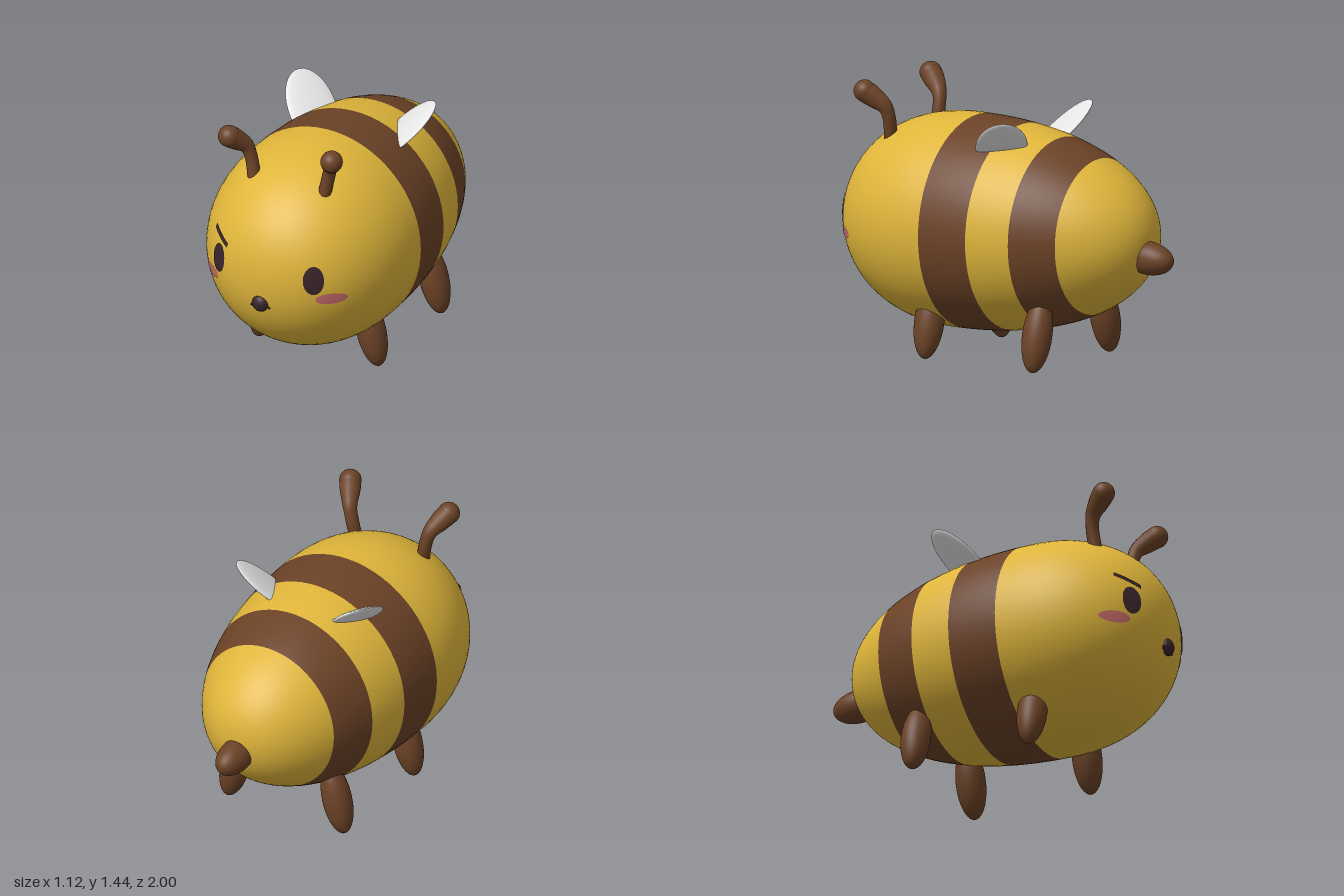
import * as THREE from 'three';

const mat = (name, color, side = THREE.FrontSide) => {
  const m = new THREE.MeshStandardMaterial({ color, side });
  m.name = name;
  return m;
};

// Body shape: an egg lying along z, widest at z = MID
const P = 2.15, MID = 0.3, FRONT = 0.68, BACK = 1.15, RX = 0.56, RY = 0.57, CY = 0.7;
const fall = (t) => Math.pow(Math.max(0, 1 - Math.pow(Math.abs(t), P)), 1 / P);
const faceZ = (x, y) => MID + FRONT * fall(Math.hypot(x / RX, (y - CY) / RY));

// One coloured band of the body between two z positions
function bodyBand(z0, z1) {
  const toAngle = (z) => Math.asin(THREE.MathUtils.clamp((z - MID) / (z > MID ? FRONT : BACK), -1, 1));
  const a0 = toAngle(z0), a1 = toAngle(z1), pts = [], n = 28;
  for (let i = 0; i <= n; i++) {
    const s = Math.sin(a0 + (a1 - a0) * i / n);
    pts.push(new THREE.Vector2(RX * fall(s), MID + s * (s > 0 ? FRONT : BACK)));
  }
  return new THREE.LatheGeometry(pts, 64).rotateX(Math.PI / 2).scale(1, RY / RX, 1).translate(0, CY, 0);
}

// Lays a flat shape on the face so it follows the curve
function onFace(geo, x, y, tilt, lift = 0.005) {
  geo.rotateZ(tilt).translate(x, y, 0);
  const p = geo.attributes.position;
  for (let i = 0; i < p.count; i++) p.setZ(i, faceZ(p.getX(i), p.getY(i)) + lift);
  geo.computeVertexNormals();
  return geo;
}
const oval = (w, h) => new THREE.RingGeometry(0, 1, 36, 5).scale(w, h, 1);
const ellipsoid = (x, y, z) => new THREE.SphereGeometry(1, 32, 20).scale(x, y, z);

// Bent feeler that swells towards its tip
function feeler(s) {
  const curve = new THREE.CatmullRomCurve3([
    [0.205, 1.1, 0.652], [0.23, 1.23, 0.642], [0.25, 1.3, 0.655], [0.28, 1.35, 0.703], [0.306, 1.386, 0.747],
  ].map(([x, y, z]) => new THREE.Vector3(s * x, y, z)));
  const rows = 24, sides = 16;
  const geo = new THREE.TubeGeometry(curve, rows, 1, sides);
  const p = geo.attributes.position, v = new THREE.Vector3();
  for (let i = 0; i < p.count; i++) {
    const u = Math.floor(i / (sides + 1)) / rows;
    const c = curve.getPointAt(u);
    const r = 0.035 + 0.023 * THREE.MathUtils.smoothstep(u, 0.45, 0.95);
    v.fromBufferAttribute(p, i).sub(c).multiplyScalar(r).add(c);
    p.setXYZ(i, v.x, v.y, v.z);
  }
  return geo;
}

export function createModel() {
  const yellow = mat('yellow', 0xdfb53a);
  const brown = mat('brown', 0x6b4226);
  const dark = mat('dark', 0x38242a, THREE.DoubleSide);
  const pink = mat('pink', 0xc76b6b, THREE.DoubleSide);
  const white = mat('white', 0xe4e4e4);
  const model = new THREE.Group();
  model.name = 'bee';
  const add = (name, geo, material, x = 0, y = 0, z = 0) => {
    const m = new THREE.Mesh(geo, material);
    m.name = name;
    m.position.set(x, y, z);
    model.add(m);
    return m;
  };

  // Striped body
  const cuts = [-0.85, -0.53, -0.29, -0.05, 0.235, 0.98];
  for (let i = 0; i < 5; i++) {
    add(i % 2 ? 'stripe' : 'body', bodyBand(cuts[i], cuts[i + 1]), i % 2 ? brown : yellow);
  }

  // Sting
  add('sting', ellipsoid(0.085, 0.088, 0.15), brown, 0, 0.62, -0.848).rotation.x = -0.08;

  for (const s of [1, -1]) {
    const side = s > 0 ? 'left' : 'right';

    // Legs, splayed outwards
    for (const [name, z] of [['FrontLeg', 0.33], ['BackLeg', -0.355]]) {
      add(side + name, ellipsoid(0.078, 0.2, 0.08), brown, s * 0.315, 0.203, z).rotation.z = s * 0.24;
    }

    // Antennae
    add(side + 'Antenna', feeler(s), brown);
    add(side + 'AntennaTip', ellipsoid(0.059, 0.059, 0.059), brown, s * 0.306, 1.386, 0.747);

    // Wings: flattened ovals rising outwards and backwards
    const along = new THREE.Vector3(s * 0.14, 0.155, -0.11).normalize();
    const across = new THREE.Vector3(s * 0.065, -0.017, 0.12);
    across.addScaledVector(along, -across.dot(along)).normalize();
    const normal = new THREE.Vector3().crossVectors(along, across);
    const wing = ellipsoid(0.136, 0.024, 0.226);
    wing.applyMatrix4(new THREE.Matrix4().makeBasis(across, normal, along));
    add(side + 'Wing', wing, white, s * 0.274, 1.18, -0.1);

    // Eyes and cheeks
    add(side + 'Eye', onFace(oval(0.047, 0.08), s * 0.282, 0.745, s * 0.08), dark);
    add(side + 'Cheek', onFace(oval(0.064, 0.032), s * 0.355, 0.633, 0, 0.004), pink);
  }

  // Single raised eyebrow
  add('eyebrow', onFace(new THREE.PlaneGeometry(0.128, 0.025, 10, 2), -0.28, 0.865, -0.4, 0.008), dark);

  // Nose and mouth
  add('nose', ellipsoid(0.046, 0.046, 0.033), dark, 0, 0.575, 0.966);
  const mouth = [[-0.054, 0.553], [-0.044, 0.562], [-0.025, 0.55], [0, 0.55], [0.025, 0.55], [0.044, 0.562], [0.054, 0.553]];
  const line = new THREE.CatmullRomCurve3(mouth.map(([x, y]) => new THREE.Vector3(x, y, faceZ(x, y) + 0.003)));
  add('mouth', new THREE.TubeGeometry(line, 30, 0.006, 8), dark);

  return model;
}
